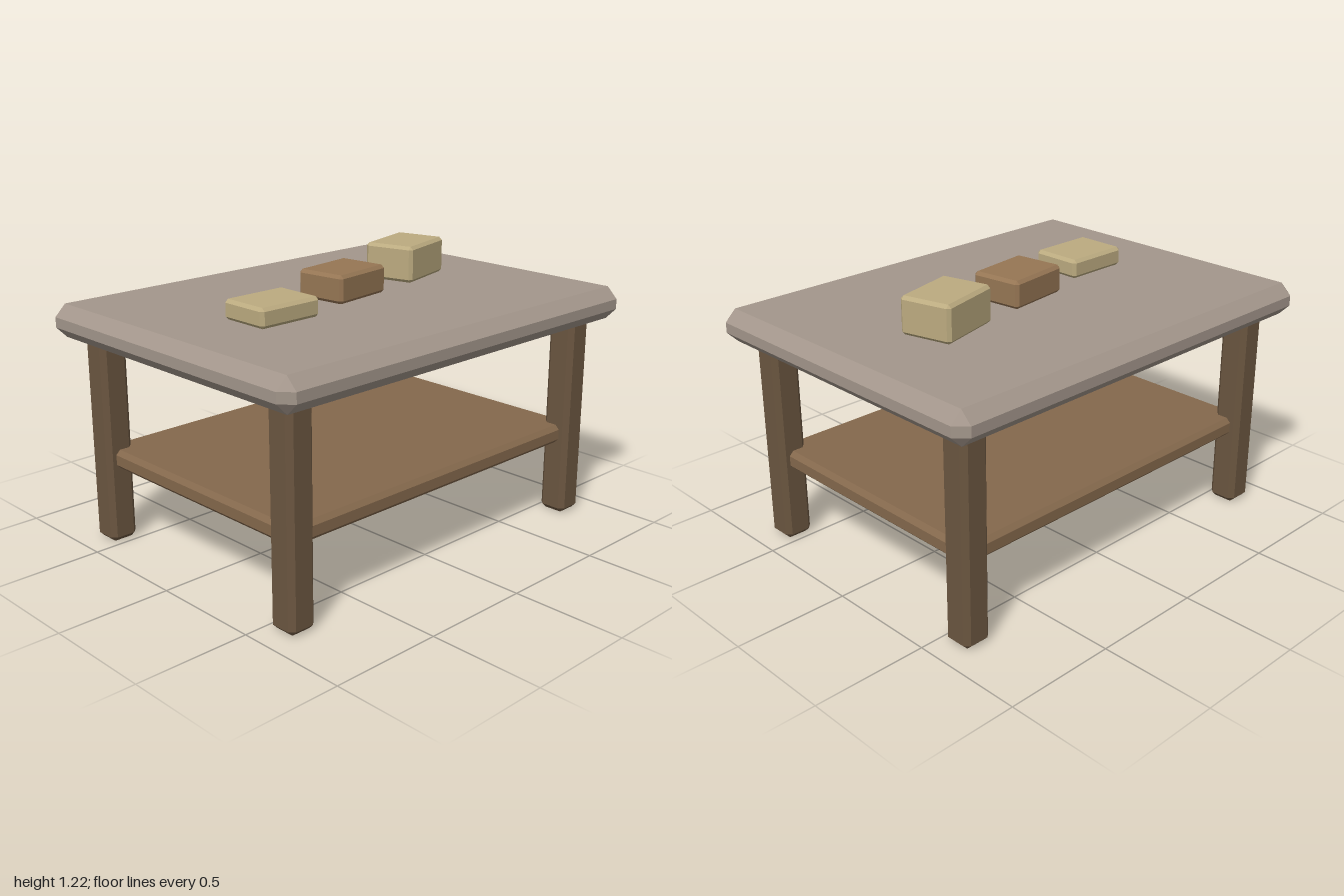
import * as THREE from 'three';
import { ConvexGeometry } from 'three/addons/geometries/ConvexGeometry.js';

// Box with every edge cut at 45 degrees and a triangle at each corner
function chamferBox(w, h, d, c) {
  const points = [];
  for (const sx of [-1, 1]) for (const sy of [-1, 1]) for (const sz of [-1, 1]) {
    const x = w / 2, y = h / 2, z = d / 2;
    points.push(
      new THREE.Vector3(sx * x, sy * (y - c), sz * (z - c)),
      new THREE.Vector3(sx * (x - c), sy * y, sz * (z - c)),
      new THREE.Vector3(sx * (x - c), sy * (y - c), sz * z)
    );
  }
  return new ConvexGeometry(points);
}

function material(color) {
  return new THREE.MeshStandardMaterial({ color, flatShading: true });
}

export function createModel() {
  const model = new THREE.Group();
  const stone = material(0xa3968b);
  const darkWood = material(0x6b5640);
  const wood = material(0x84684c);
  const brown = material(0x967654);
  const tan = material(0xbcab80);

  // Adds a chamfered block whose underside is at height y
  function block(name, [w, h, d], chamfer, mat, [x, y, z], turn = 0) {
    const mesh = new THREE.Mesh(chamferBox(w, h, d, chamfer), mat);
    mesh.name = name;
    mesh.position.set(x, y + h / 2, z);
    mesh.rotation.y = turn;
    model.add(mesh);
  }

  // Table top and lower shelf
  block('tableTop', [2, 0.145, 1.5], 0.05, stone, [0, 0.915, 0]);
  block('lowerShelf', [1.72, 0.085, 1.22], 0.02, wood, [0, 0.34, 0]);

  // Four legs
  for (const [sx, side] of [[1, 'Left'], [-1, 'Right']])
    for (const [sz, end] of [[1, 'front'], [-1, 'back']])
      block(`${end}${side}Leg`, [0.13, 0.915, 0.13], 0.022, darkWood, [sx * 0.835, 0, sz * 0.585]);

  // Three small blocks on the top, each taller and turned further
  block('lowBlock', [0.308, 0.085, 0.237], 0.014, tan, [-0.482, 1.06, 0.085]);
  block('middleBlock', [0.305, 0.123, 0.237], 0.014, brown, [-0.004, 1.06, -0.006], 0.125);
  block('tallBlock', [0.305, 0.163, 0.237], 0.014, tan, [0.476, 1.06, -0.091], 0.25);

  return model;
}
